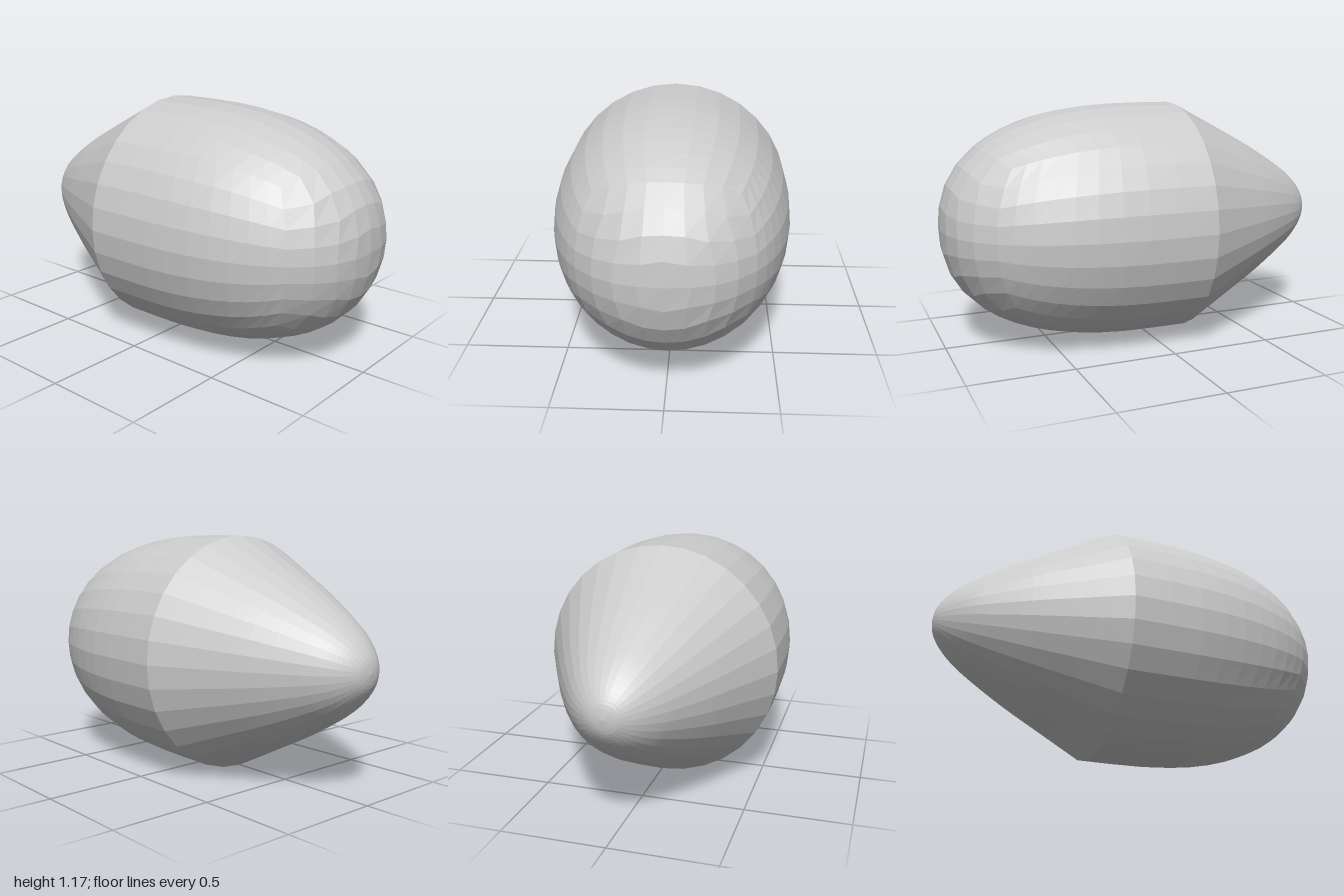
import * as THREE from 'three';

const R = 0.585;       // body radius
const SEAM = -0.18;    // z where the body meets the tail
const CY = 0.588;      // height of the long axis
const DEG = Math.PI / 180;

// Rounded body: a gridded box with its back left open, wrapped onto a superelliptic dome
function bodyGeometry() {
  const rows = 9;
  const geo = new THREE.BoxGeometry(2, 2, 2, 8, 8, rows);
  const back = geo.groups[5];
  geo.setIndex(Array.from(geo.index.array).slice(0, back.start));
  geo.clearGroups();

  const p = geo.attributes.position;
  for (let i = 0; i < p.count; i++) {
    const u = p.getX(i), v = p.getY(i);
    const row = Math.round((1 - p.getZ(i)) / 2 * rows);
    const t = Math.max(Math.abs(u), Math.abs(v));

    // Even angular steps around the square perimeter
    let a = 0, corner = 0;
    if (t > 1e-6) {
      if (Math.abs(u) >= Math.abs(v)) {
        corner = v / u;
        a = corner * 45 + (u > 0 ? 0 : 180);
      } else {
        corner = u / v;
        a = 90 - corner * 45 + (v > 0 ? 0 : 180);
      }
    }

    // Angle from the nose: front patch first, then the rows down the side
    const edge = 38 + 9 * corner * corner;
    const phi = row === 0
      ? edge * Math.pow(t, 1.12)
      : THREE.MathUtils.lerp(edge, 90, Math.min(1, row / (rows - 1)));
    const r = R * Math.pow(Math.sin(phi * DEG), 2 / 2.4);
    const z = row === rows ? SEAM : Math.pow(Math.max(0, Math.cos(phi * DEG)), 2 / 2.4);
    p.setXYZ(i, r * Math.cos(a * DEG), r * Math.sin(a * DEG), z);
  }
  geo.computeVertexNormals();
  return geo;
}

// Tail: a straight-sided cone that rounds off at the tip
function tailGeometry() {
  const profile = new THREE.SplineCurve([
    [R, -SEAM], [0.477, 0.39], [0.368, 0.6], [0.262, 0.78], [0.2, 0.87],
    [0.135, 0.94], [0.067, 0.986], [0, 1],
  ].map(([r, y]) => new THREE.Vector2(r, y)));
  const points = profile.getPoints(28);
  points[points.length - 1].set(0, 1);
  return new THREE.LatheGeometry(points, 32).rotateX(-Math.PI / 2);
}

export function createModel() {
  const group = new THREE.Group();
  const material = new THREE.MeshStandardMaterial({
    color: 0xcccccc, flatShading: true, side: THREE.DoubleSide,
  });
  const add = (name, geometry) => {
    const mesh = new THREE.Mesh(geometry, material);
    mesh.name = name;
    mesh.position.y = CY;
    group.add(mesh);
  };
  add('roundedBody', bodyGeometry());
  add('taperedTail', tailGeometry());
  return group;
}
